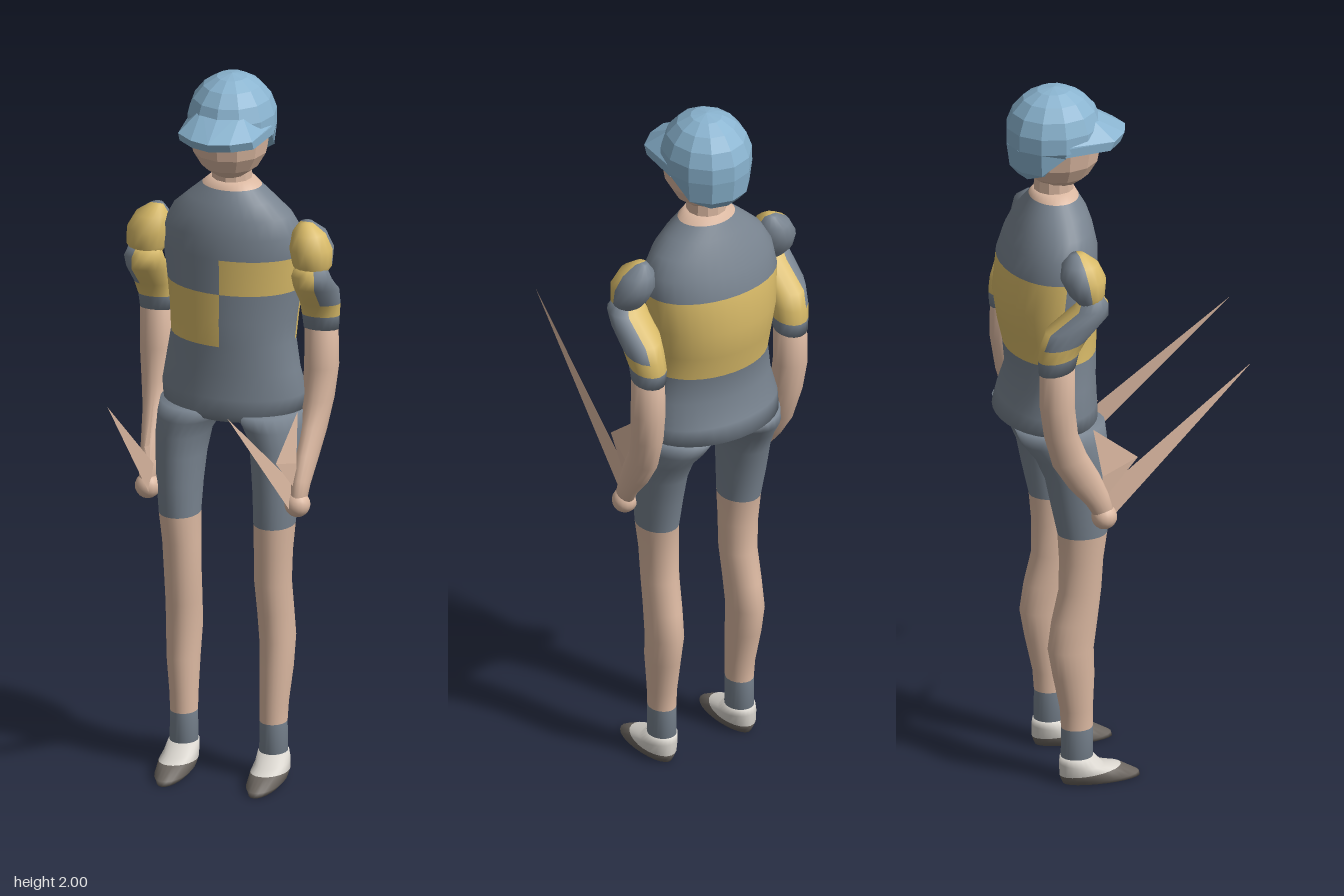
import * as THREE from 'three';
import { ConvexGeometry } from 'three/addons/geometries/ConvexGeometry.js';

export function createModel() {
  const model = new THREE.Group();
  model.name = 'rider';

  const mat = (name, color, double) => {
    const m = new THREE.MeshStandardMaterial({ color });
    m.name = name;
    if (double) m.side = THREE.DoubleSide;
    return m;
  };
  const grey = mat('slateGrey', 0x78838f);
  const yellow = mat('mustardYellow', 0xd8ba68);
  const skin = mat('skin', 0xdcb9a2, true);
  const blue = mat('capBlue', 0x8ab4d0, true);
  const white = mat('ivory', 0xd8d4cd);
  const dark = mat('soleBrown', 0x6c6660);

  const add = (name, geometry, material, parent = model) => {
    const mesh = new THREE.Mesh(geometry, material);
    mesh.name = name;
    parent.add(mesh);
    return mesh;
  };
  const flat = (g) => {
    const f = g.index ? g.toNonIndexed() : g;
    f.computeVertexNormals();
    return f;
  };

  // Closed loft through elliptical rings [x, y, z, rx, rz, tilt], bottom to top.
  // pick(band, angle) gives the material of each face.
  function loft(name, rings, pick, parent, n = 24) {
    const pos = [];
    for (const [x, y, z, rx, rz, tilt = 0] of rings) {
      for (let i = 0; i < n; i++) {
        const a = (i / n) * Math.PI * 2, dz = Math.sin(a) * rz;
        pos.push(x + Math.cos(a) * rx, y + dz * tilt, z + dz);
      }
    }
    const last = rings.length - 1, base = pos.length / 3;
    pos.push(...rings[0].slice(0, 3), ...rings[last].slice(0, 3));
    const faces = new Map();
    const put = (m, ...ids) => faces.set(m, (faces.get(m) || []).concat(ids));
    for (let i = 0; i < n; i++) {
      const k = (i + 1) % n, a = ((i + 0.5) / n) * Math.PI * 2;
      for (let j = 0; j < last; j++) {
        const p = j * n + i, q = j * n + k;
        put(pick(j, a), p, p + n, q, q, p + n, q + n);
      }
      put(pick(0, a), base, i, k);
      put(pick(last - 1, a), base + 1, last * n + k, last * n + i);
    }
    const g = new THREE.BufferGeometry();
    g.setAttribute('position', new THREE.Float32BufferAttribute(pos, 3));
    const index = [], mats = [...faces.keys()];
    mats.forEach((m, k) => {
      const list = faces.get(m);
      g.addGroup(index.length, list.length, k);
      index.push(...list);
    });
    g.setIndex(index);
    g.computeVertexNormals();
    return add(name, g, mats, parent);
  }

  // Thin double-sided sheet through a fan of points
  function sheet(name, points, material, parent) {
    const g = new THREE.BufferGeometry();
    g.setAttribute('position', new THREE.Float32BufferAttribute(points.flat(), 3));
    const idx = [];
    for (let i = 1; i < points.length - 1; i++) idx.push(0, i, i + 1);
    g.setIndex(idx);
    add(name, flat(g), material, parent);
  }

  // Torso: shirt with checked front and a full band across the back
  loft('torso', [
    [0, 1.03, -0.2, 0.14, 0.1], [0, 1.055, -0.215, 0.198, 0.136], [0, 1.1, -0.21, 0.2, 0.128],
    [0, 1.17, -0.2, 0.186, 0.115], [0, 1.25, -0.203, 0.173, 0.121], [0, 1.32, -0.21, 0.178, 0.13],
    [0, 1.4, -0.217, 0.188, 0.135], [0, 1.5, -0.21, 0.198, 0.13], [0, 1.56, -0.2, 0.192, 0.119],
    [0, 1.61, -0.194, 0.165, 0.103], [0, 1.65, -0.19, 0.122, 0.086], [0, 1.685, -0.19, 0.082, 0.066],
    [0, 1.705, -0.19, 0.06, 0.055],
  ], (j, a) => {
    const front = Math.sin(a) > 0, left = Math.cos(a) > 0;
    if (j === 11) return skin;
    if (j === 4 || j === 5) return !front || !left ? yellow : grey;
    if (j === 6) return !front || left ? yellow : grey;
    return grey;
  }, model, 32);

  // Neck and faceted head
  const neck = add('neck', flat(new THREE.CylinderGeometry(0.053, 0.056, 0.12, 12)), skin);
  neck.position.set(0, 1.72, -0.19);
  const head = add('head', flat(new THREE.SphereGeometry(1, 12, 8).scale(0.109, 0.127, 0.115)), skin);
  head.position.set(0, 1.837, -0.175);

  // Cap: faceted dome, nape flap and peak
  const cap = new THREE.Group();
  cap.name = 'cap';
  model.add(cap);
  const dome = add('capDome', flat(new THREE.SphereGeometry(1, 12, 5, 0, Math.PI * 2, 0, Math.PI * 0.55)
    .scale(0.122, 0.13, 0.133)), blue, cap);
  dome.position.set(0, 1.87, -0.19);
  const flapProfile = [[0.092, -0.112], [0.113, -0.085], [0.121, -0.02]].map((p) => new THREE.Vector2(...p));
  const flapShape = new THREE.LatheGeometry(flapProfile, 6, Math.PI / 2, Math.PI);
  const fp = flapShape.attributes.position;
  for (let i = 0; i < fp.count; i++) {
    fp.setY(i, Math.max(fp.getY(i), -0.035 + Math.min(0, fp.getZ(i)) * 1.3));
    fp.setZ(i, fp.getZ(i) * 1.09);
  }
  add('capFlap', flat(flapShape), blue, cap).position.set(0, 1.87, -0.19);
  const peak = [[0, 1.925, -0.09]];
  for (const s of [-1, 1]) {
    peak.push([s * 0.055, 1.925, -0.105], [s * 0.118, 1.87, -0.19]);
    for (const [x, z] of [[0.118, -0.18], [0.105, -0.05], [0.055, -0.008], [0, 0.01]]) {
      peak.push([s * x, 1.865, z], [s * x, 1.84, z - 0.012]);
    }
  }
  add('capPeak', flat(new ConvexGeometry(peak.map((p) => new THREE.Vector3(...p)))), blue, cap);

  for (const s of [1, -1]) {
    const side = s > 0 ? 'left' : 'right';

    // Leg: sock, bare calf and shorts
    loft(side + 'Leg', [
      [s * 0.127, 0.06, -0.163, 0.039, 0.044], [s * 0.127, 0.165, -0.163, 0.037, 0.043],
      [s * 0.128, 0.22, -0.165, 0.039, 0.045], [s * 0.132, 0.32, -0.174, 0.045, 0.057],
      [s * 0.132, 0.4, -0.182, 0.048, 0.063], [s * 0.13, 0.48, -0.171, 0.048, 0.063],
      [s * 0.128, 0.57, -0.155, 0.05, 0.058], [s * 0.13, 0.66, -0.152, 0.052, 0.06],
      [s * 0.134, 0.74, -0.15, 0.056, 0.068], [s * 0.136, 0.83, -0.158, 0.062, 0.08],
      [s * 0.135, 0.91, -0.166, 0.068, 0.088], [s * 0.132, 0.97, -0.18, 0.074, 0.1],
      [s * 0.119, 1.015, -0.197, 0.087, 0.118], [s * 0.1, 1.055, -0.205, 0.1, 0.125],
    ], (j) => (j === 0 || j > 7 ? grey : skin), model);

    // Shoe
    loft(side + 'Shoe', [
      [s * 0.13, 0.003, -0.095, 0.036, 0.107], [s * 0.13, 0.016, -0.1, 0.047, 0.108],
      [s * 0.13, 0.036, -0.127, 0.049, 0.085, 0.1], [s * 0.129, 0.055, -0.15, 0.046, 0.062, -0.1],
      [s * 0.127, 0.08, -0.163, 0.041, 0.047],
    ], (j) => (j < 2 ? dark : white), model);

    // Sleeve: shoulder puff, flared middle and cuff
    loft(side + 'ShoulderPuff', [
      [s * 0.232, 1.455, -0.16, 0.035, 0.025], [s * 0.235, 1.49, -0.168, 0.055, 0.048],
      [s * 0.23, 1.535, -0.176, 0.06, 0.062], [s * 0.222, 1.575, -0.182, 0.046, 0.05],
      [s * 0.212, 1.6, -0.186, 0.018, 0.02],
    ], (j, a) => (Math.sin(a) > -0.1 ? yellow : grey), model, 16);
    loft(side + 'Sleeve', [
      [s * 0.232, 1.275, -0.25, 0.047, 0.05, 0.2], [s * 0.232, 1.315, -0.246, 0.05, 0.056, 0.2],
      [s * 0.235, 1.355, -0.232, 0.053, 0.065, 0.2], [s * 0.237, 1.41, -0.195, 0.058, 0.088, 0.25],
      [s * 0.237, 1.455, -0.155, 0.056, 0.045, 0.2], [s * 0.235, 1.485, -0.155, 0.045, 0.03],
    ], (j, a) => (j === 0 || (j > 1 && s * Math.cos(a) > 0.4) ? grey : yellow), model, 16);

    // Bare forearm and hand
    loft(side + 'Forearm', [
      [s * 0.214, 0.82, -0.11, 0.022, 0.024, 0.5], [s * 0.215, 0.87, -0.132, 0.025, 0.03, 0.5],
      [s * 0.218, 0.93, -0.17, 0.03, 0.042, 0.4], [s * 0.222, 1.0, -0.212, 0.036, 0.047, 0.3],
      [s * 0.228, 1.08, -0.238, 0.043, 0.047], [s * 0.233, 1.17, -0.25, 0.047, 0.048],
      [s * 0.233, 1.29, -0.249, 0.045, 0.048, 0.2],
    ], () => skin, model, 16);
    const hand = add(side + 'Hand', new THREE.SphereGeometry(0.035, 16, 12), skin);
    hand.position.set(s * 0.212, 0.815, -0.112);

    // Thin pointed blades rising from the hand
    const blades = new THREE.Group();
    blades.name = side + 'Blades';
    model.add(blades);
    const tip = s > 0 ? [0.175, 1.23, 0.355] : [-0.18, 1.2, 0.31];
    sheet('longBlade', [tip, [s * 0.195, 0.88, -0.11], [s * 0.2, 0.8, -0.09]], skin, blades);
    sheet('shortBlade', [[s * 0.186, 0.965, -0.01], [s * 0.203, 1.07, -0.14], [s * 0.208, 0.93, -0.115],
      [s * 0.205, 0.85, -0.12]], skin, blades);
  }
  return model;
}
